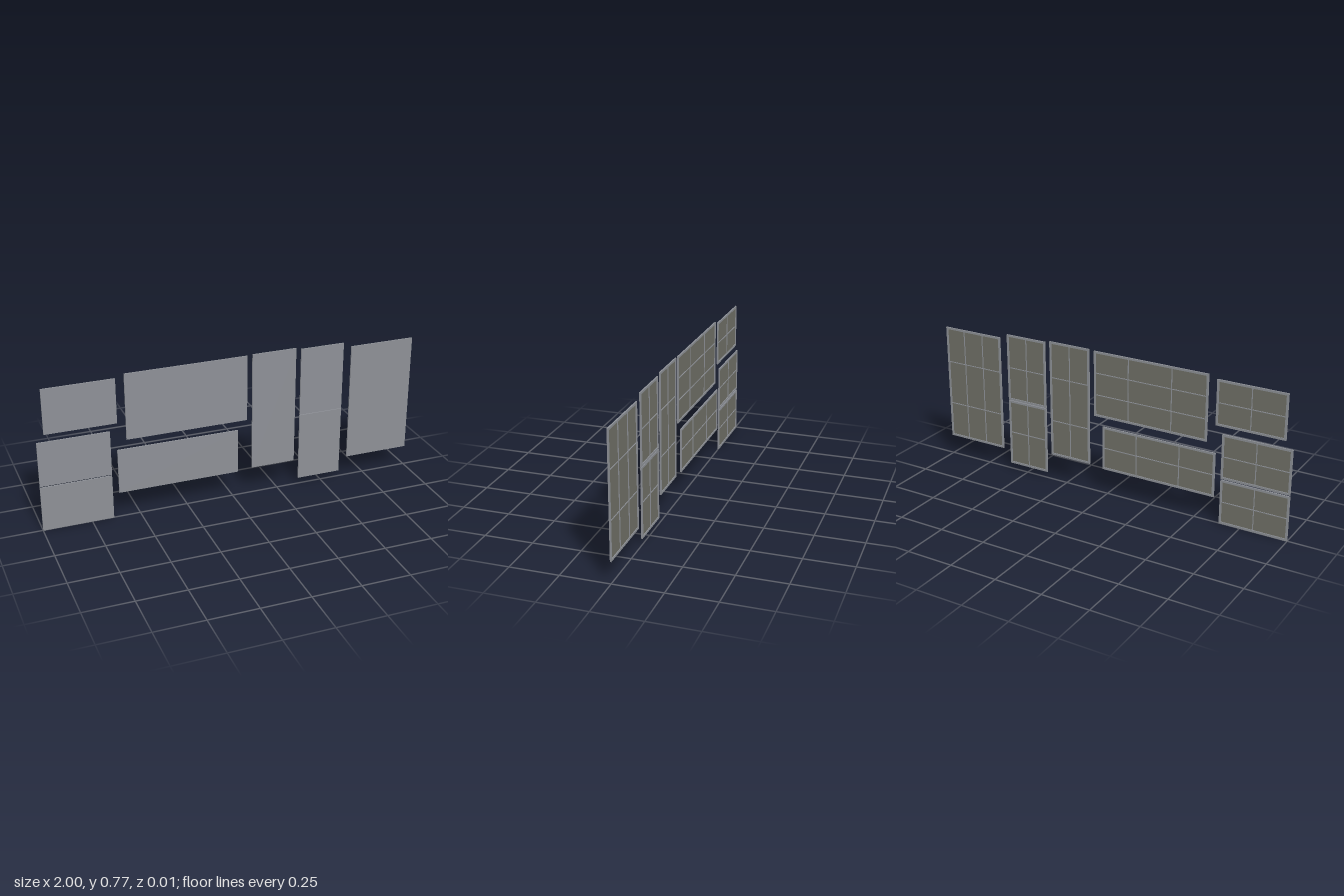
import * as THREE from 'three';

const DEPTH = 0.007; // overall panel thickness
const LIP = 0.011; // width of the rear frame
const RIB = 0.004; // width of the rear stiffeners

// Panels as [left, bottom, width, height, column rib fractions, row rib fractions]
const HALF = [0.5], THIRDS = [1 / 3, 2 / 3], LONG = [0.31, 0.69];
const PANELS = [
  [-0.962, 0.519, 0.362, 0.236, HALF, HALF],
  [-1.0, 0.244, 0.362, 0.236, HALF, HALF],
  [-1.0, 0.0, 0.362, 0.238, HALF, HALF],
  [-0.556, 0.422, 0.634, 0.35, LONG, THIRDS],
  [-0.605, 0.135, 0.634, 0.237, LONG, HALF],
  [0.106, 0.144, 0.236, 0.631, HALF, LONG],
  [0.37, 0.402, 0.236, 0.364, HALF, HALF],
  [0.37, 0.033, 0.236, 0.366, HALF, HALF],
  [0.651, 0.109, 0.349, 0.631, THIRDS, LONG],
];

export function createModel() {
  const metal = new THREE.MeshStandardMaterial({ color: 0x8d9096 });
  metal.name = 'grey metal';
  const lining = new THREE.MeshStandardMaterial({ color: 0x6f6f66 });
  lining.name = 'olive grey lining';

  const model = new THREE.Group();
  model.name = 'wallPanels';

  // Box with its depth given by its back and front z
  function slab(parent, name, material, w, h, z0, z1, x = 0, y = 0) {
    const mesh = new THREE.Mesh(new THREE.BoxGeometry(w, h, z1 - z0), material);
    mesh.position.set(x, y, (z0 + z1) / 2);
    mesh.name = name;
    parent.add(mesh);
  }

  for (const [left, bottom, w, h, columns, rows] of PANELS) {
    const panel = new THREE.Group();
    panel.name = 'panel';
    panel.position.set(left + w / 2, bottom + h / 2, 0);
    model.add(panel);

    const front = DEPTH / 2, back = -front, sheetBack = front - 0.002;
    const iw = w - 2 * LIP, ih = h - 2 * LIP;

    // Front sheet and its rear lining
    slab(panel, 'frontSheet', metal, w, h, sheetBack, front);
    slab(panel, 'rearLining', lining, iw, ih, sheetBack - 0.001, sheetBack);

    // Rear frame
    for (const s of [-1, 1]) {
      slab(panel, 'frameSide', metal, LIP, h, back, sheetBack, s * (w - LIP) / 2, 0);
      slab(panel, 'frameRail', metal, iw, LIP, back, sheetBack, 0, s * (h - LIP) / 2);
    }

    // Stiffening ribs across the back
    for (const f of columns) {
      slab(panel, 'columnRib', metal, RIB, ih, back + 0.0005, sheetBack - 0.001, (f - 0.5) * w, 0);
    }
    for (const f of rows) {
      slab(panel, 'rowRib', metal, iw, RIB, back + 0.001, sheetBack - 0.001, 0, (f - 0.5) * h);
    }
  }
  return model;
}
